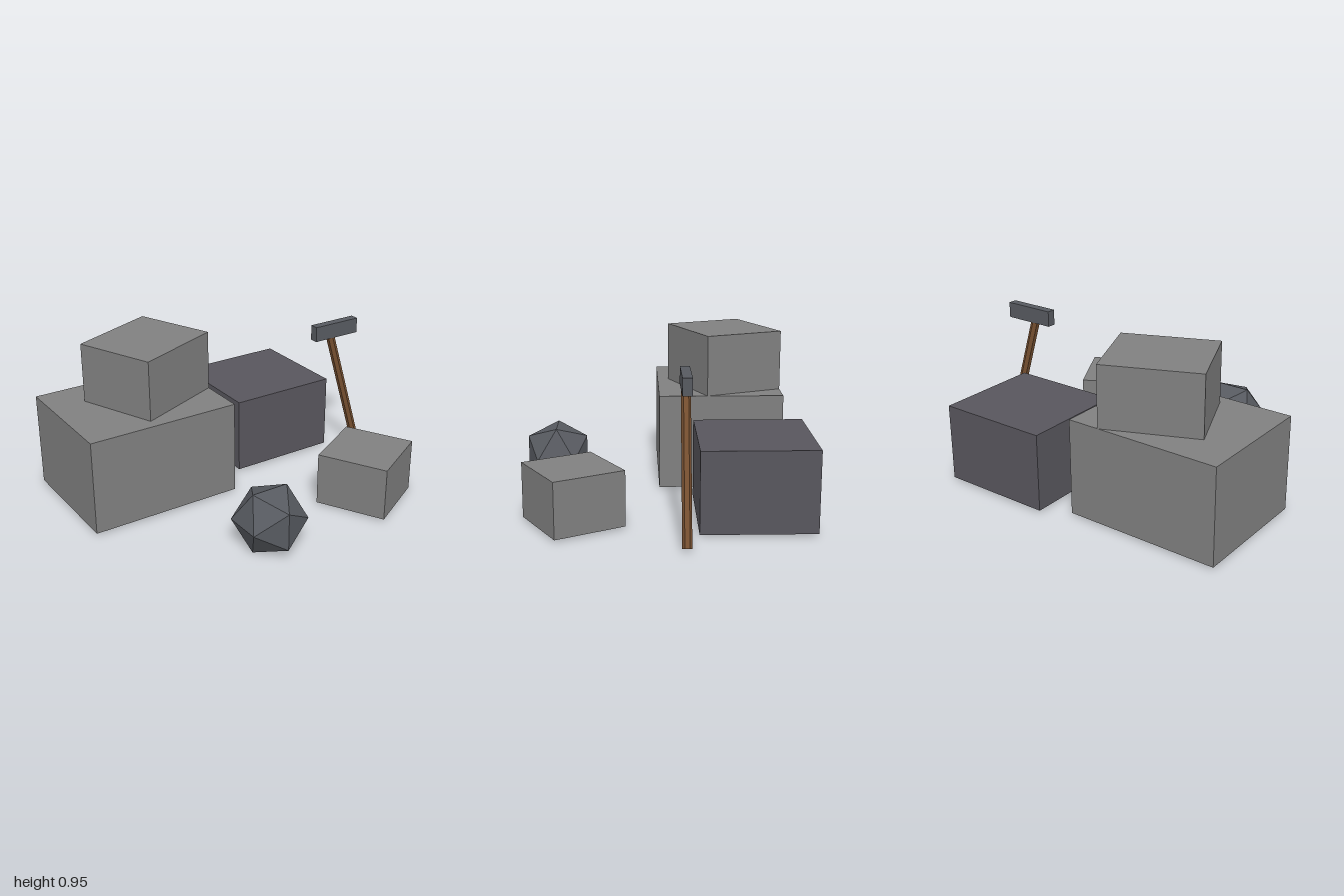
import * as THREE from 'three';

const flat = (name, color) => {
  const m = new THREE.MeshStandardMaterial({ color });
  m.name = name;
  return m;
};

export function createModel() {
  const model = new THREE.Group();
  model.name = 'stoneBlocksAndHammer';

  const paleStone = flat('paleStone', 0x808080);
  const darkStone = flat('darkStone', 0x58565d);
  const ironGrey = flat('ironGrey', 0x575a60);
  const wood = flat('wood', 0x7a5232);

  const add = (name, geometry, material, x, y, z) => {
    const mesh = new THREE.Mesh(geometry, material);
    mesh.name = name;
    mesh.position.set(x, y, z);
    model.add(mesh);
    return mesh;
  };

  // Cut blocks: size, centre x and z, bottom height, turn about y
  const block = (name, material, [w, h, d], x, bottom, z, turn = 0) => {
    add(name, new THREE.BoxGeometry(w, h, d), material, x, bottom + h / 2, z).rotation.y = turn;
  };
  block('largeBlock', paleStone, [0.935, 0.572, 0.75], -0.533, 0.013, -0.365);
  block('stackedBlock', paleStone, [0.57, 0.363, 0.5], -0.425, 0.585, -0.4, 0.4);
  block('darkBlock', darkStone, [0.68, 0.465, 0.643], 0.435, 0.013, -0.508);
  block('smallBlock', paleStone, [0.427, 0.32, 0.427], 0.545, 0.013, 0.5, 0.5);

  // Rough ore lump, resting on one edge
  const lump = new THREE.IcosahedronGeometry(0.214, 0);
  add('oreLump', lump, ironGrey, -0.247, 0.183, 0.64);

  // Leaning hammer: six-sided handle and level head
  const foot = new THREE.Vector3(0.974, 0.014, -0.11);
  const top = new THREE.Vector3(0.73, 0.808, -0.11);
  const lean = top.clone().sub(foot);
  const handle = add('hammerHandle', new THREE.CylinderGeometry(0.0265, 0.0265, lean.length(), 6).toNonIndexed(),
    wood, (foot.x + top.x) / 2, (foot.y + top.y) / 2, foot.z);
  handle.geometry.computeVertexNormals();
  handle.rotation.z = Math.atan2(-lean.x, lean.y);
  add('hammerHead', new THREE.BoxGeometry(0.32, 0.095, 0.053), ironGrey, 0.76, 0.852, -0.11);

  return model;
}
